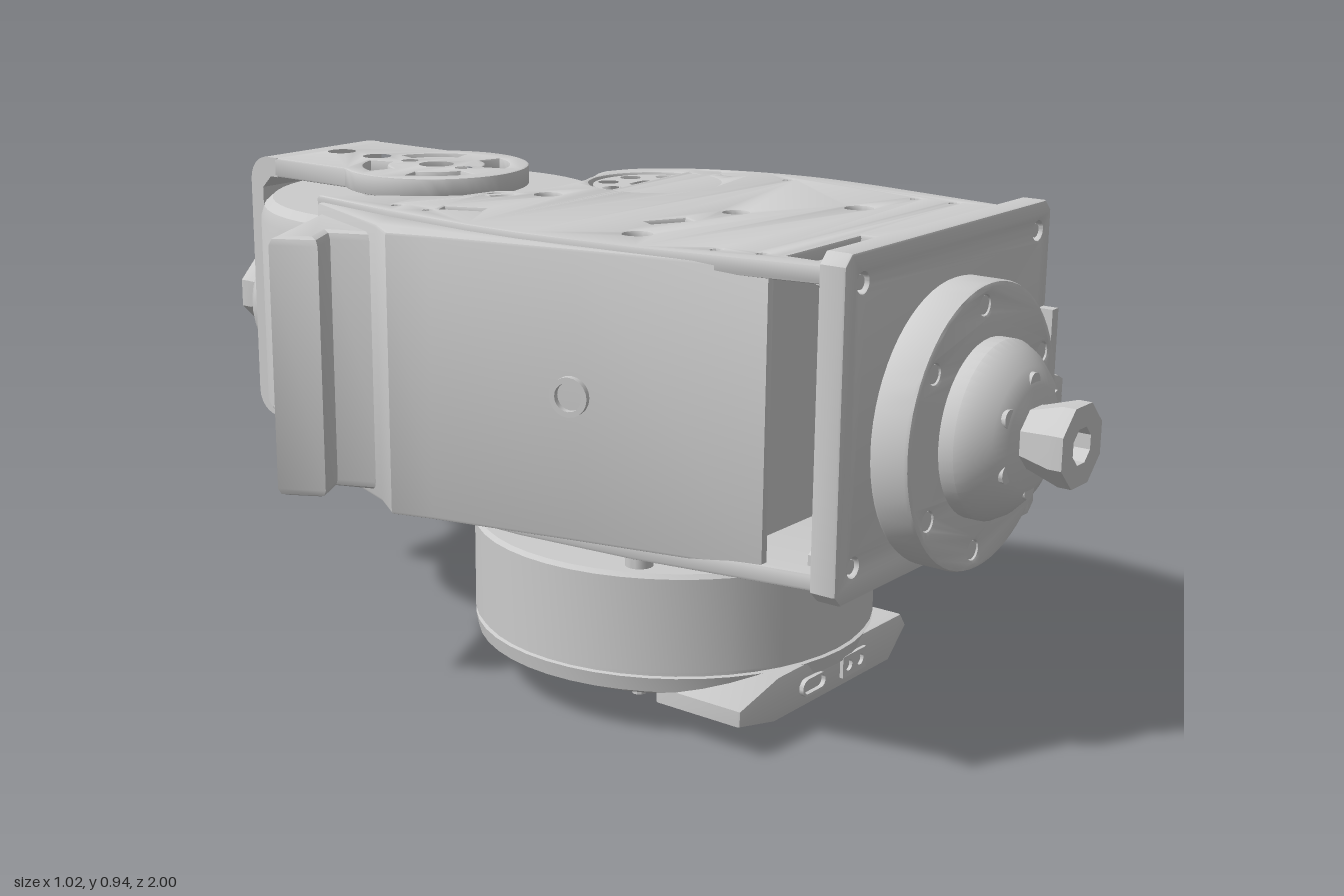
import * as THREE from 'three';
import { toCreasedNormals } from 'three/addons/utils/BufferGeometryUtils.js';

const mat = new THREE.MeshStandardMaterial({ color: 0xcccccc });
const CX = 0.105, CY = 0.6;          // axis of the front and rear couplings
const HUB = [0.105, -0.47];          // vertical axis of the rear joint (x, z)

const V = (pts) => pts.map(([x, y]) => new THREE.Vector2(x, y));
const arc = (cx, cz, r, a0, a1, n = 24) => Array.from({ length: n + 1 }, (_, i) => {
  const a = THREE.MathUtils.degToRad(a0 + (a1 - a0) * i / n);
  return [cx + r * Math.cos(a), cz + r * Math.sin(a)];
});
const circle = (x, z, r, n = 20) => arc(x, z, r, 0, 360 - 360 / n, n - 1);
const rect = (x0, z0, x1, z1) => [[x0, z0], [x1, z0], [x1, z1], [x0, z1]];
// Curved slot between two radii
const arcSlot = (cx, cz, r0, r1, a0, a1, n = 10) =>
  [...arc(cx, cz, r0, a0, a1, n), ...arc(cx, cz, r1, a1, a0, n)];

function mesh(parent, name, geo, crease = 0.5) {
  const m = new THREE.Mesh(toCreasedNormals(geo, crease), mat);
  m.name = name;
  parent.add(m);
  return m;
}

function extrude(pts, holes, depth, b) {
  const s = new THREE.Shape(V(pts));
  s.holes = holes.map((h) => new THREE.Path(V(h)));
  const g = new THREE.ExtrudeGeometry(s, {
    depth: depth - 2 * b, bevelEnabled: b > 0, bevelSize: b, bevelThickness: b, bevelOffset: -b, bevelSegments: 2,
  });
  return g.translate(0, 0, b);
}
// Outline in (x, z), raised from y0 to y1
function slab(parent, name, pts, y0, y1, holes = [], b = 0) {
  const flip = (p) => p.map(([x, z]) => [x, -z]);
  return mesh(parent, name, extrude(flip(pts), holes.map(flip), y1 - y0, b).rotateX(-Math.PI / 2).translate(0, y0, 0));
}
// Outline in (x, y), from z0 to z1
const wall = (parent, name, pts, z0, z1, holes = [], b = 0) =>
  mesh(parent, name, extrude(pts, holes, z1 - z0, b).translate(0, 0, z0));
// Outline in (z, y), from x0 to x1
const side = (pts, x0, x1) => extrude(pts.map(([z, y]) => [-z, y]), [], x1 - x0, 0).rotateY(Math.PI / 2).translate(x0, 0, 0);
const lathe = (pts, n = 48) => new THREE.LatheGeometry(V(pts), n);
const cyl = (r, h, n = 20) => new THREE.CylinderGeometry(r, r, h, n);
const box = (parent, name, w, h, d, x, y, z) =>
  mesh(parent, name, new THREE.BoxGeometry(w, h, d).translate(x, y, z));

export function createModel() {
  const root = new THREE.Group();
  root.name = 'jointModule';

  // Main housing: outline with a concave back that wraps the rear joint
  const rightCurve = new THREE.SplineCurve(V([[0.495, 0.36], [0.505, 0.2], [0.48, 0.05], [0.43, -0.07], [0.36, -0.15], [0.29, -0.18]]))
    .getPoints(20).map((p) => [p.x, p.y]);
  const leftCurve = [[-0.28, -0.42], [-0.31, -0.2], [-0.325, 0], [-0.325, 0.12], [-0.3, 0.36]];
  const outline = [[-0.235, 0.7], [0.445, 0.7], ...rightCurve, ...arc(...HUB, 0.335, 62, 148), ...leftCurve];
  const core = [[-0.265, 0.52], [0.47, 0.52], ...rightCurve, ...arc(...HUB, 0.37, 58, 165), ...leftCurve.slice(1)];
  slab(root, 'housingCore', core, 0.39, 0.895);

  const screws = [[0.08, 0.3, 0.024], [0.26, 0.45, 0.026], [-0.2, 0.29, 0.026], [0.01, -0.09, 0.026], [-0.05, -0.16, 0.026],
    [0.41, -0.01, 0.026], [0.43, 0.05, 0.024]];
  const pins = [[-0.23, 0.48], [-0.21, 0.56], [0.41, 0.48], [0.415, 0.56], [0.44, 0.17], [-0.26, -0.23], [-0.26, -0.15]];
  const tilt = (x, z, a) => rect(-0.04, -0.018, 0.04, 0.018).map(([u, v]) =>
    [x + u * Math.cos(a) - v * Math.sin(a), z + u * Math.sin(a) + v * Math.cos(a)]);
  const holes = [...screws.map((s) => circle(...s)), ...pins.map((p) => circle(...p, 0.01, 10)),
    rect(-0.2, 0.6, 0.03, 0.66), tilt(-0.07, 0.26, 0.5), tilt(-0.21, -0.11, 1.15)];
  slab(root, 'topPlate', outline, 0.89, 0.922, [...holes, circle(0.25, -0.02, 0.128, 40)], 0.006);
  slab(root, 'bottomPlate', outline, 0.365, 0.397, [], 0.006);
  for (const [x, z, r] of screws) mesh(root, 'plateScrew', cyl(r * 0.6, 0.02, 12).translate(x, 0.9, z));

  // Output flange in the top plate
  const ring = Array.from({ length: 8 }, (_, i) => {
    const a = (i + 0.5) * Math.PI / 4;
    return circle(0.25 + 0.093 * Math.cos(a), -0.02 + 0.093 * Math.sin(a), 0.021, 14);
  });
  slab(root, 'outputFlange', circle(0.25, -0.02, 0.12, 40), 0.88, 0.917, [...ring, circle(0.25, -0.02, 0.05, 6)]);

  // Left cover and its projecting grip
  slab(root, 'leftCover', [[-0.235, 0.6], [-0.31, 0.1], [-0.3, -0.2], [-0.265, -0.41], [-0.29, -0.41], [-0.38, -0.17],
    [-0.425, -0.1], [-0.4, -0.02], [-0.33, 0.26], [-0.25, 0.6]], 0.385, 0.91, [], 0.006);
  slab(root, 'grip', [[-0.515, -0.305], [-0.28, -0.41], [-0.36, -0.17], [-0.405, -0.26], [-0.47, -0.225]], 0.4, 0.89, [], 0.016);
  mesh(root, 'coverPort', lathe([[0.036, -0.02], [0.036, 0.01], [0.026, 0.01], [0.026, -0.005], [0, -0.005]], 20)
    .rotateZ(Math.PI / 2).rotateY(0.25).translate(-0.335, 0.65, 0.25));

  // Connector inside the front opening
  box(root, 'connectorBoard', 0.05, 0.31, 0.09, 0.38, 0.645, 0.555);
  box(root, 'connectorSocket', 0.04, 0.23, 0.05, 0.4, 0.645, 0.545);

  // Front plate with corner bolts
  const corners = [[-0.185, 0.892], [0.405, 0.892], [-0.185, 0.405], [0.405, 0.405]];
  const c = 0.02;
  wall(root, 'frontPlate', [[-0.24 + c, 0.345], [0.45 - c, 0.345], [0.45, 0.345 + c], [0.45, 0.945 - c], [0.45 - c, 0.945],
    [-0.24 + c, 0.945], [-0.24, 0.945 - c], [-0.24, 0.345 + c]], 0.69, 0.742, corners.map(([x, y]) => circle(x, y, 0.018)), 0.005);
  for (const [x, y] of corners) {
    mesh(root, 'cornerBolt', cyl(0.013, 0.07, 12).rotateX(Math.PI / 2).translate(x, y, 0.7));
    mesh(root, 'cornerNut', cyl(0.022, 0.03, 6).rotateX(Math.PI / 2).translate(x, y, 0.678));
  }

  // Front coupling: flange, latch, domed hub and socketed post
  const flangeBolts = [26, 95, 144, -145, -95, -26].map((d) => arc(CX, CY, 0.22, d, d, 1)[0]);
  wall(root, 'frontFlange', circle(CX, CY, 0.257, 64), 0.742, 0.818, flangeBolts.map(([x, y]) => circle(x, y, 0.017)), 0.008);
  for (const [x, y] of flangeBolts) mesh(root, 'flangeBolt', cyl(0.017, 0.06, 16).rotateX(Math.PI / 2).translate(x, y, 0.783));
  wall(root, 'latchTab', [[0.32, 0.55], [0.375, 0.56], [0.395, 0.575], [0.395, 0.63], [0.375, 0.64], [0.33, 0.65]], 0.755, 0.815, [], 0.005);
  box(root, 'latchLever', 0.022, 0.15, 0.03, 0.376, 0.685, 0.785);

  const post = [[0.055, -0.03], [0.057, 0], [0.076, 0.06], [0.076, 0.085], [0.034, 0.085], [0.034, 0.04], [0, 0.04]];
  const postGeo = () => lathe(post, 8).rotateY(Math.PI / 8);
  mesh(root, 'frontHub', lathe([[0, 0], [0.16, 0], [0.16, 0.028], [0.148, 0.05], [0.12, 0.078], [0.09, 0.093], [0, 0.095]])
    .rotateX(Math.PI / 2).translate(CX, CY, 0.818));
  for (let i = 0; i < 6; i++) {
    const [x, y] = arc(CX, CY, 0.096, 30 + i * 60, 0, 1)[0];
    mesh(root, 'hubBolt', cyl(0.017, 0.03, 14).rotateX(Math.PI / 2).translate(x, y, 0.893));
  }
  mesh(root, 'frontPost', postGeo().rotateX(Math.PI / 2).translate(CX, CY, 0.915), 0.3);

  // Rear joint drum
  mesh(root, 'rearDrum', lathe([[0, 0.42], [0.32, 0.42], [0.345, 0.428], [0.36, 0.45], [0.36, 0.83], [0.352, 0.855],
    [0.335, 0.87], [0, 0.875]], 56).translate(HUB[0], 0, HUB[1]));
  mesh(root, 'drumSpindle', cyl(0.15, 0.49, 40).translate(HUB[0], 0.642, HUB[1]));

  // Rear U bracket: bent strap plus two rounded arms
  const r = 0.05;
  const strap = [[-0.78, 0.37], ...arc(-0.86 + r, 0.37 + r, r, 270, 180, 6), ...arc(-0.86 + r, 0.93 - r, r, 180, 90, 6), [-0.78, 0.93],
    [-0.78, 0.89], [-0.8, 0.89], [-0.825, 0.865], [-0.825, 0.435], [-0.8, 0.41], [-0.78, 0.41]];
  mesh(root, 'bracketStrap', side(strap, -0.05, 0.26));
  const arm = [[0.26, -0.785], ...arc(...HUB, 0.19, -35, 215, 40), [-0.05, -0.785]];
  const armHoles = [circle(0.105, -0.745, 0.034), circle(0.105, -0.64, 0.034), circle(0.105, -0.545, 0.022),
    circle(0.105, -0.395, 0.022), circle(...HUB, 0.04),
    ...[18, 108, 198, 288].map((a) => arcSlot(...HUB, 0.1, 0.15, a, a + 54))];
  slab(root, 'upperArm', arm, 0.89, 0.93, armHoles, 0.004);
  slab(root, 'lowerArm', arm, 0.37, 0.41, armHoles, 0.004);
  for (const z of [-0.745, -0.64]) mesh(root, 'armScrew', cyl(0.017, 0.04, 12).translate(0.105, 0.89, z));
  mesh(root, 'pivotScrew', cyl(0.022, 0.53, 12).translate(HUB[0], 0.65, HUB[1]));
  slab(root, 'cableGuide', arcSlot(0.105, -0.455, 0.115, 0.15, 80, 280, 20), 0.3, 0.375, [], 0.006);

  // Rear coupling
  mesh(root, 'rearHub', lathe([[0, 0], [0.152, 0], [0.15, 0.02], [0.13, 0.045], [0.1, 0.063], [0.06, 0.07], [0, 0.07]])
    .rotateX(-Math.PI / 2).translate(CX, CY, -0.857));
  mesh(root, 'rearPost', postGeo().rotateX(-Math.PI / 2).translate(CX, CY, -0.915), 0.3);

  // Round base, collar and stand-offs
  const bx = 0.105, bz = 0.15;
  mesh(root, 'base', lathe([[0, 0.06], [0.32, 0.06], [0.385, 0.09], [0.39, 0.118], [0.383, 0.12], [0.383, 0.127], [0.39, 0.129],
    [0.39, 0.308], [0.383, 0.316], [0, 0.316]], 48).translate(bx, 0, bz), 0.3);
  mesh(root, 'collar', lathe([[0.21, 0.31], [0.21, 0.33], [0.19, 0.333], [0.19, 0.345], [0.175, 0.347], [0.175, 0.37]])
    .translate(0.12, 0, 0.14));
  for (const [x, z] of [[-0.2, 0.3], [0.26, 0.45], [0.41, 0.1], [0.05, -0.16], [-0.1, 0.45]])
    mesh(root, 'standOff', cyl(0.026, 0.07, 16).translate(x, 0.34, z));
  for (const z of [0.1, 0.2])
    mesh(root, 'baseSideScrew', cyl(0.014, 0.02, 12).rotateZ(Math.PI / 2).translate(0.487, 0.215, z));
  mesh(root, 'baseCentre', lathe([[0, 0.05], [0.03, 0.05], [0.04, 0.062]], 24).translate(bx, 0, bz));
  for (let i = 0; i < 8; i++) {
    const [x, z] = arc(bx, bz, 0.3, i * 45 + 20, 0, 1)[0];
    mesh(root, 'baseBolt', cyl(0.014, 0.014, 10).translate(x, 0.059, z));
  }

  // Port housing on the front of the base
  wall(root, 'portHousing', [[-0.2, 0.06], [-0.09, 0.035], [0.3, 0.035], [0.36, 0.09], [0.34, 0.118], [-0.08, 0.118], [-0.2, 0.09]],
    0.34, 0.528, [], 0.004);
  const pill = [...arc(0.05, 0.073, 0.012, -90, 90, 8), ...arc(0.005, 0.073, 0.012, 90, 270, 8)];
  const pillRim = [...arc(0.05, 0.073, 0.017, -90, 90, 8), ...arc(0.005, 0.073, 0.017, 90, 270, 8)];
  wall(root, 'slotPort', pillRim, 0.52, 0.537, [pill]);
  wall(root, 'plugPort', rect(0.125, 0.053, 0.205, 0.095), 0.52, 0.535, [circle(0.146, 0.074, 0.011), circle(0.185, 0.074, 0.011)]);

  // Ridged foot: zigzag profile drawn up at its two ends
  const zig = [[0.37, 0.1], [0.35, 0.05], [0.3, 0.006], [0.27, 0.004], [0.235, 0.03], [0.2, 0.002], [0.17, 0], [0.14, 0.03],
    [0.11, 0], [0.06, 0], [0.02, 0.004], [-0.05, 0.06], [-0.07, 0.1]];
  const foot = side(zig, 0, 1);
  const deep = foot.clone();
  const bend = (g, x0, x1, up0, up1) => {
    const p = g.attributes.position;
    for (let i = 0; i < p.count; i++) {
      const end = p.getX(i) > 0.5;
      p.setX(i, end ? x1 : x0);
      p.setY(i, THREE.MathUtils.lerp(p.getY(i), 0.1, end ? up1 : up0));
    }
    return g;
  };
  mesh(root, 'footRidges', bend(deep, 0.26, 0.43, 0, 0), 0.2);
  mesh(root, 'footOuterSlope', bend(foot.clone(), 0.43, 0.485, 0, 0.85), 0.2);
  mesh(root, 'footInnerSlope', bend(foot, 0.16, 0.26, 0.6, 0), 0.2);
  return root;
}
